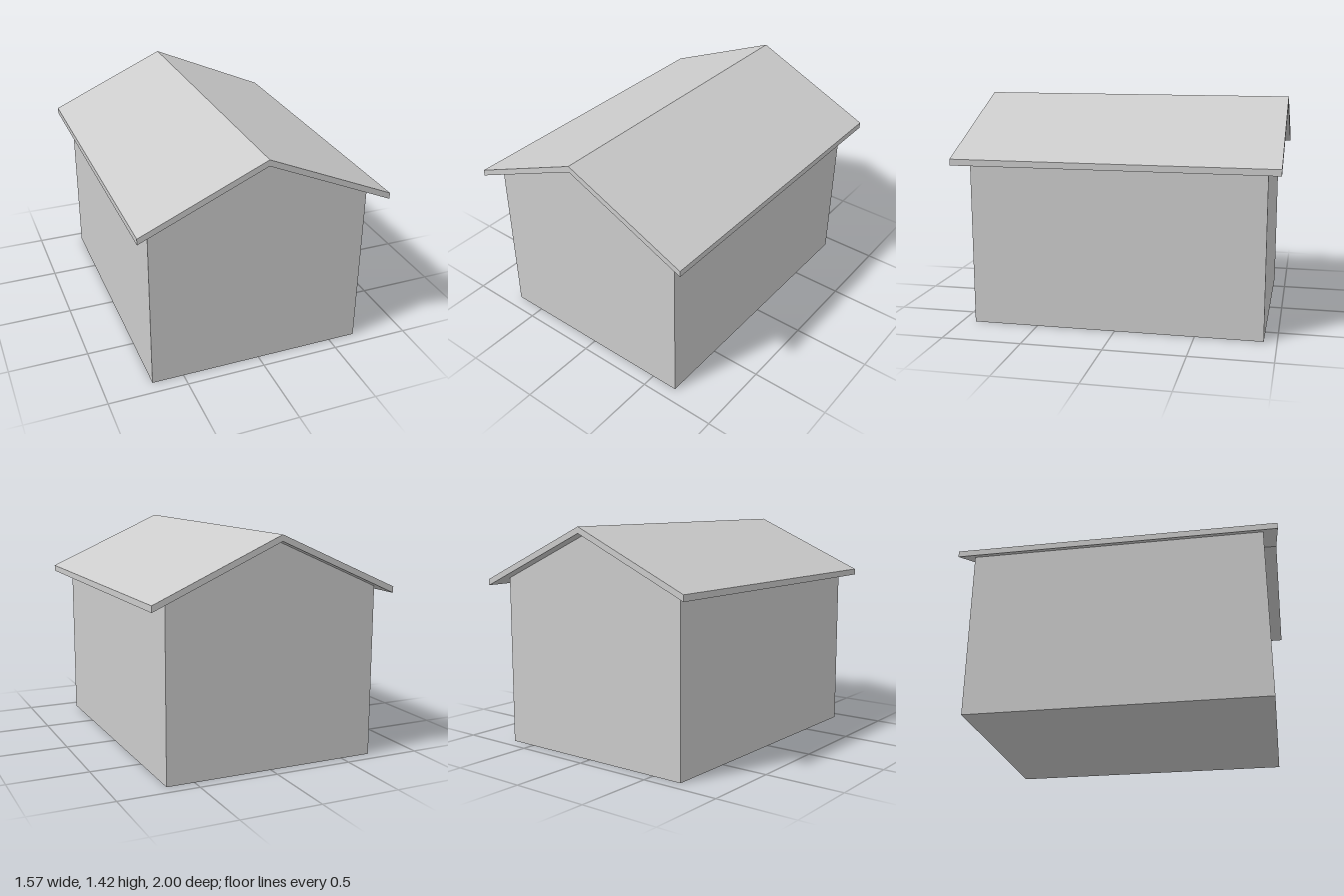
import * as THREE from 'three';

const RIDGE_X = -0.012, RIDGE_Y = 1.378, SLOPE = 0.442, THICKNESS = 0.039;

// Height of the roof underside at a given x
const roofY = (x) => RIDGE_Y - SLOPE * Math.abs(x - RIDGE_X);

// Closed outline extruded along z
function prism(name, points, zBack, zFront) {
  const shape = new THREE.Shape(points.map(([x, y]) => new THREE.Vector2(x, y)));
  const geometry = new THREE.ExtrudeGeometry(shape, { depth: zFront - zBack, bevelEnabled: false });
  geometry.translate(0, 0, zBack);
  const mesh = new THREE.Mesh(geometry, new THREE.MeshStandardMaterial({ color: 0xcccccc, flatShading: true }));
  mesh.name = name;
  return mesh;
}

export function createModel() {
  const house = new THREE.Group();
  house.name = 'house';

  // Solid body with gabled ends
  const wallR = -0.7, wallL = 0.675;
  house.add(prism('walls', [
    [wallR, 0], [wallL, 0], [wallL, roofY(wallL)], [RIDGE_X, RIDGE_Y], [wallR, roofY(wallR)],
  ], -0.92, 0.913));

  // Roof slab with vertical eaves, overhanging on all sides
  const eave = 0.783;
  const underside = [-eave, RIDGE_X, eave].map((x) => [x, roofY(x)]);
  const topside = underside.map(([x, y]) => [x, y + THICKNESS]).reverse();
  house.add(prism('roof', [...underside, ...topside], -1, 1));

  return house;
}
